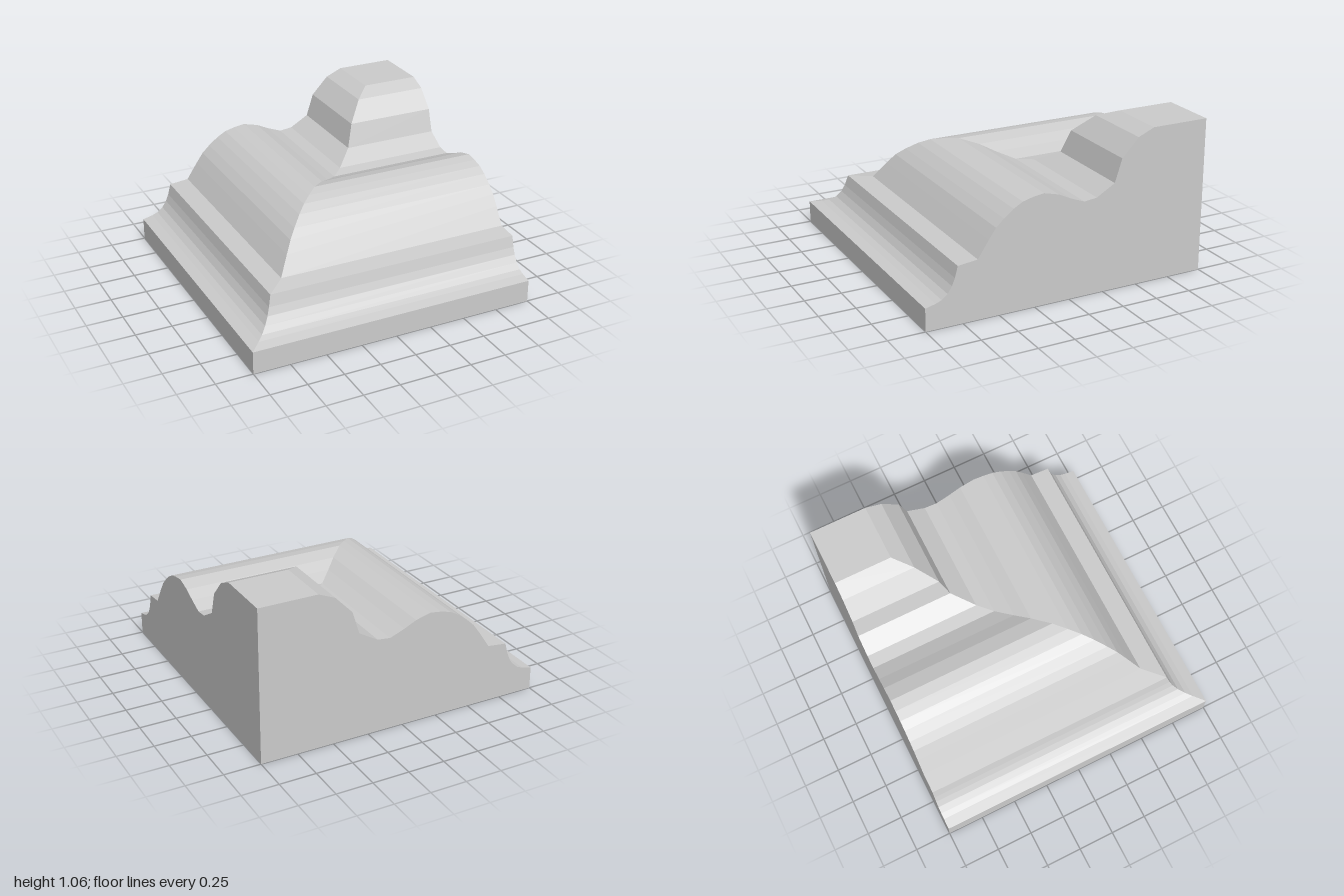
import * as THREE from 'three';

// Moulding section: distance across the slope (s) and height (y)
const PROFILE = [
  [-1, 0.155], [-0.93, 0.172], [-0.89, 0.188], [-0.85, 0.22], [-0.82, 0.265], [-0.8, 0.315],
  [-0.78, 0.39], [-0.645, 0.405], [-0.57, 0.518], [-0.52, 0.588], [-0.467, 0.638], [-0.4, 0.69],
  [-0.337, 0.725], [-0.267, 0.743], [-0.19, 0.754], [-0.085, 0.727], [0, 0.686], [0.1, 0.647],
  [0.19, 0.657], [0.32, 0.732], [0.37, 0.888], [0.487, 1.01], [0.6, 1.058], [1, 1.058],
];

const material = new THREE.MeshStandardMaterial({ color: 0xcccccc, flatShading: true });

// Non-indexed geometry; mirrored = reflected across the mitre plane x = -z
function fromPositions(positions, mirrored) {
  const out = [];
  for (let i = 0; i < positions.length; i += 9) {
    const tri = [0, 3, 6].map((k) => positions.slice(i + k, i + k + 3));
    if (mirrored) tri.reverse();
    for (const [x, y, z] of tri) out.push(...(mirrored ? [-z, y, -x] : [x, y, z]));
  }
  const g = new THREE.BufferGeometry();
  g.setAttribute('position', new THREE.Float32BufferAttribute(out, 3));
  g.computeVertexNormals();
  return g;
}

// Stepped strips from the mitre line to the cut end at x = 1
function mouldingPositions() {
  const p = [];
  for (let i = 0; i < PROFILE.length - 1; i++) {
    const [s0, y0] = PROFILE[i];
    const [s1, y1] = PROFILE[i + 1];
    const a = [s0, y0, -s0], b = [1, y0, -s0], c = [1, y1, -s1], d = [s1, y1, -s1];
    p.push(...a, ...b, ...c);
    if (s1 < 1) p.push(...a, ...c, ...d);
  }
  return p;
}

// Flat cut end showing the whole section
function endPositions() {
  const points = [[-1, 0], [1, 0], ...[...PROFILE].reverse()];
  const shape = new THREE.Shape(points.map(([s, y]) => new THREE.Vector2(s, y)));
  const g = new THREE.ShapeGeometry(shape).rotateY(Math.PI / 2).translate(1, 0, 0).toNonIndexed();
  return Array.from(g.attributes.position.array);
}

// Upright edge of the base slab, and half of its underside
const h = PROFILE[0][1];
const EDGE = [-1, 0, 1, 1, 0, 1, 1, h, 1, -1, 0, 1, 1, h, 1, -1, h, 1];
const UNDERSIDE = [-1, 0, 1, 1, 0, -1, 1, 0, 1];

export function createModel() {
  const model = new THREE.Group();
  model.name = 'mitredCornerMoulding';
  const parts = {
    moulding: mouldingPositions(),
    cutEnd: endPositions(),
    baseEdge: EDGE,
    underside: UNDERSIDE,
  };
  for (const mirrored of [false, true]) {
    const half = new THREE.Group();
    half.name = mirrored ? 'sideRun' : 'frontRun';
    for (const [name, positions] of Object.entries(parts)) {
      const mesh = new THREE.Mesh(fromPositions(positions, mirrored), material);
      mesh.name = name;
      half.add(mesh);
    }
    model.add(half);
  }
  return model;
}
